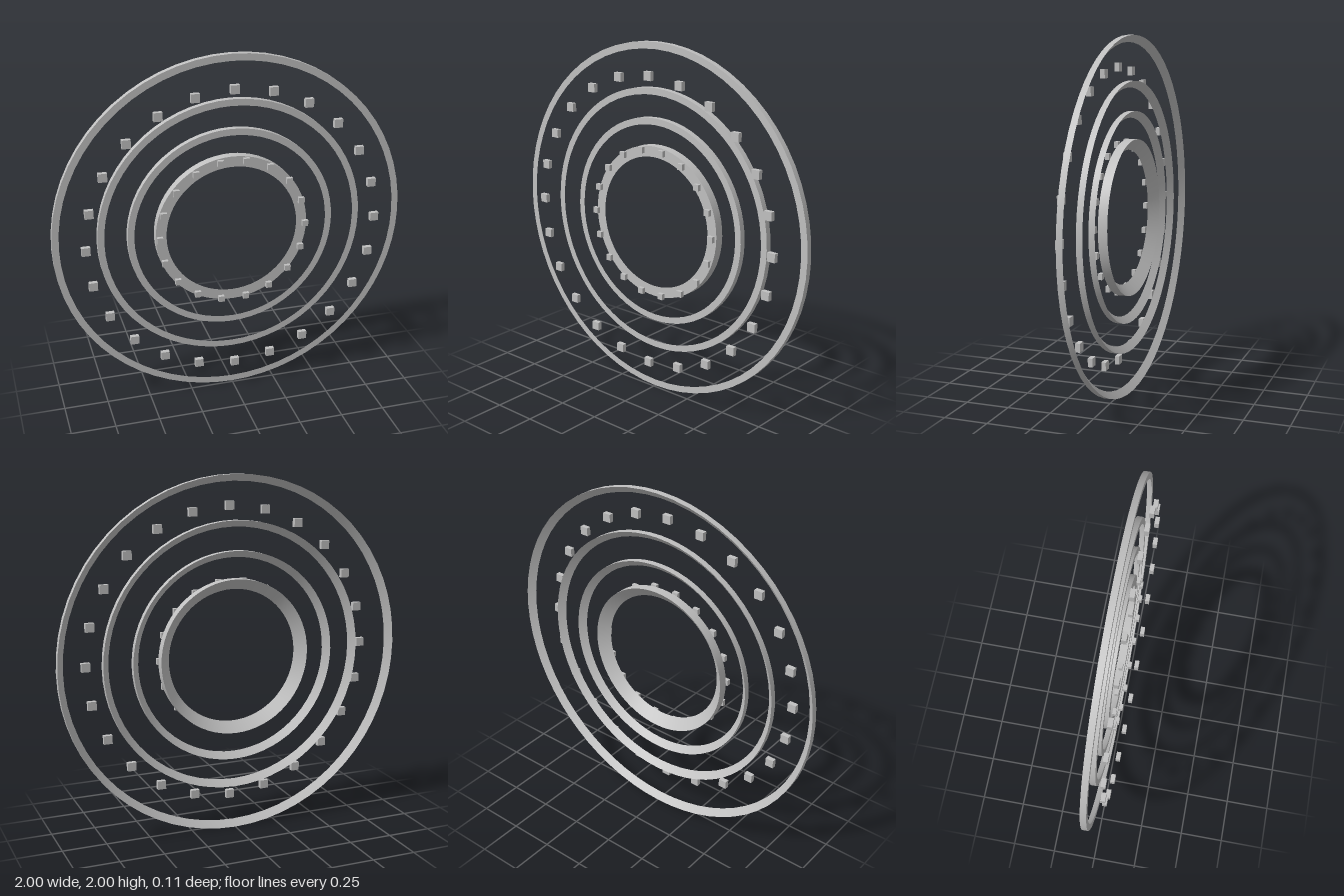
import * as THREE from 'three';
import { toCreasedNormals } from 'three/addons/utils/BufferGeometryUtils.js';

export function createModel() {
  const model = new THREE.Group();
  const gray = new THREE.MeshStandardMaterial({ color: 0xc0c0c0 });
  gray.name = 'light gray';

  // Ring with a flat front, a straight outer wall and a bevelled back
  function addRing(name, inner, outer, back, front) {
    const profile = [[outer, back], [outer, front], [inner, front], [outer, back]]
      .map(([r, z]) => new THREE.Vector2(r, z));
    const lathe = new THREE.LatheGeometry(profile, 64);
    lathe.rotateX(Math.PI / 2);
    const ring = new THREE.Mesh(toCreasedNormals(lathe, 0.5), gray);
    ring.name = name;
    ring.position.y = 1;
    model.add(ring);
  }

  // Upright blocks spaced evenly on a circle
  function addBlocks(name, count, radius, size, depth, z) {
    const group = new THREE.Group();
    group.name = name + 's';
    const box = new THREE.BoxGeometry(size, size, depth);
    for (let i = 0; i < count; i++) {
      const a = (i / count) * Math.PI * 2;
      const block = new THREE.Mesh(box, gray);
      block.name = name;
      block.position.set(Math.cos(a) * radius, 1 + Math.sin(a) * radius, z);
      group.add(block);
    }
    model.add(group);
  }

  // Concentric rings
  addRing('outerRing', 0.962, 1.0, -0.047, -0.013);
  addRing('secondRing', 0.717, 0.754, -0.047, -0.013);
  addRing('thirdRing', 0.552, 0.589, -0.047, -0.013);
  addRing('innerRing', 0.375, 0.435, -0.056, -0.004);

  // Floating blocks in front of the rings
  addBlocks('outerBlock', 24, 0.827, 0.048, 0.026, 0.043);
  addBlocks('innerBlock', 18, 0.418, 0.034, 0.021, 0.023);

  return model;
}
